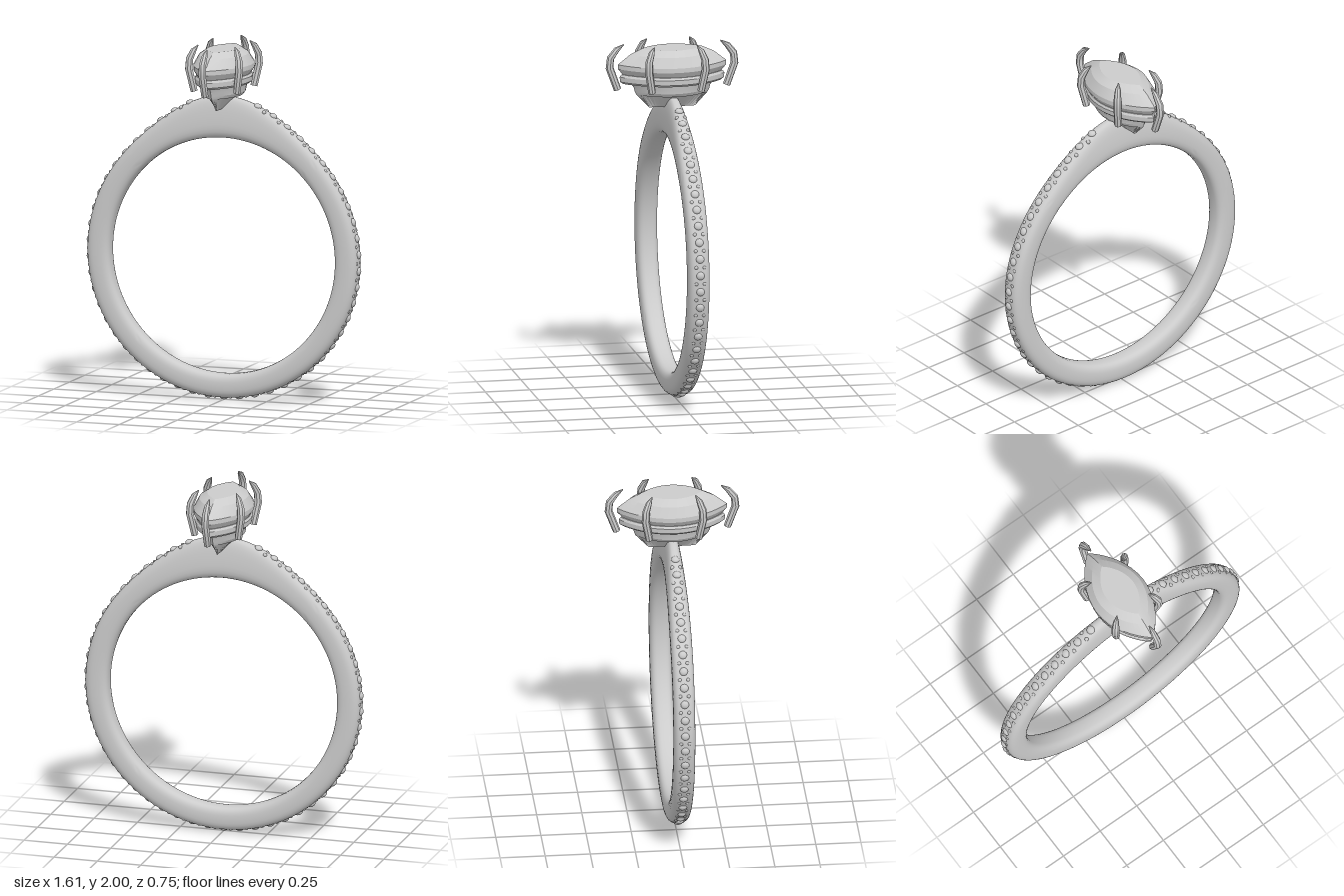
import * as THREE from 'three';
import { toCreasedNormals } from 'three/addons/utils/BufferGeometryUtils.js';

const material = new THREE.MeshStandardMaterial({ color: 0xcccccc, side: THREE.DoubleSide });
const CENTER_Y = 0.81, INNER = 0.66;

// Skin a list of equal-length rings of points; closed joins the last to the first, otherwise ends are capped
function loft(rings, closed, crease) {
  const list = rings.slice();
  const n = rings[0].length;
  if (!closed) {
    const cap = (ring) => {
      const c = new THREE.Vector3();
      ring.forEach((p) => c.addScaledVector(p, 1 / n));
      return ring.map(() => c);
    };
    list.unshift(cap(rings[0]));
    list.push(cap(rings[rings.length - 1]));
  }
  const m = list.length, index = [];
  const same = (p, q) => list[Math.floor(p / n)][p % n].distanceTo(list[Math.floor(q / n)][q % n]) < 1e-6;
  const tri = (a, b, c) => {
    if (!same(a, b) && !same(b, c) && !same(a, c)) index.push(a, b, c);
  };
  for (let i = 0; i < (closed ? m : m - 1); i++) {
    for (let j = 0; j < n; j++) {
      const k = (j + 1) % n, i2 = (i + 1) % m;
      tri(i * n + j, i * n + k, i2 * n + k);
      tri(i * n + j, i2 * n + k, i2 * n + j);
    }
  }
  const geo = new THREE.BufferGeometry().setFromPoints(list.flat());
  geo.setIndex(index);
  return toCreasedNormals(geo, crease);
}

function add(parent, geometry, name) {
  const mesh = new THREE.Mesh(geometry, material);
  mesh.name = name;
  parent.add(mesh);
  return mesh;
}

// Shoulder swell near the top of the band, a = angle from the top
const swell = (a) => {
  const d = Math.abs(Math.atan2(Math.sin(a), Math.cos(a)));
  return Math.exp(-((d / 0.45) ** 2));
};
const outer = (a) => 0.793 + 0.1 * swell(a);
const onBand = (a, r, z) => new THREE.Vector3(Math.sin(a) * r, CENTER_Y + Math.cos(a) * r, z);
const power = (v, e) => Math.sign(v) * Math.abs(v) ** e;

function bandGeometry() {
  const rings = [], steps = 128, sides = 28;
  for (let i = 0; i < steps; i++) {
    const a = (i / steps) * Math.PI * 2;
    const mid = (outer(a) + INNER) / 2, half = (outer(a) - INNER) / 2;
    rings.push(Array.from({ length: sides }, (_, j) => {
      const t = (j / sides) * Math.PI * 2;
      const u = power(Math.cos(t), 0.75);
      const width = 0.06 * (1 - 0.22 * swell(a) * (u + 1));
      return onBand(a, mid + half * u, width * power(Math.sin(t), 0.6));
    }));
  }
  return loft(rings, true, 0.9);
}

// Pointed oval ring: half length along z, half width along x
function marquise([y, length, width]) {
  const n = 40;
  return Array.from({ length: n }, (_, j) => {
    const t = (j / n) * Math.PI * 2;
    const s = Math.sin(t);
    const x = width * Math.sign(Math.cos(t)) * Math.max(0, 1 - s * s) ** 0.9;
    return new THREE.Vector3(x, y, -length * s);
  });
}
const stack = (layers) => loft(layers.map(marquise), false, 0.3);

// Claw bent outward then hooked over the stone; profile rows are [reach, height, radius]
function prongGeometry(reach) {
  const profile = [[-0.045, 1.745, 0.021], [0, 1.87, 0.022], [-0.006, 1.925, 0.021], [-0.04, 1.97, 0.017], [-0.08, 1.998, 0.003]];
  const pts = profile.map(([d, y]) => new THREE.Vector3(0, y, d * reach));
  const side = new THREE.Vector3(1, 0, 0);
  const rings = pts.map((p, i) => {
    const dir = pts[Math.min(i + 1, 4)].clone().sub(pts[Math.max(i - 1, 0)]).normalize();
    const e2 = dir.clone().cross(side);
    return Array.from({ length: 8 }, (_, j) => {
      const t = (j / 8) * Math.PI * 2, r = profile[i][2];
      return p.clone().addScaledVector(side, r * Math.cos(t)).addScaledVector(e2, r * Math.sin(t));
    });
  });
  return loft(rings, false, 0.6);
}

export function createModel() {
  const model = new THREE.Group();
  model.name = 'ring';
  add(model, bandGeometry(), 'band');

  // Row of accent stones with pairs of tiny beads between them
  const accents = new THREE.Group();
  accents.name = 'accentStones';
  model.add(accents);
  const stoneGeo = new THREE.SphereGeometry(0.024, 12, 8);
  const beadGeo = new THREE.SphereGeometry(0.012, 8, 6);
  const count = 54, step = (Math.PI * 2) / count;
  for (let i = 2; i <= count - 2; i++) {
    const a = i * step;
    const stone = add(accents, stoneGeo, 'accentStone');
    stone.position.copy(onBand(a, outer(a) - 0.004, 0));
    stone.rotation.z = -a;
    stone.scale.y = 0.7;
    const b = a + step / 2;
    if (i < count - 2) {
      for (const s of [-1, 1]) {
        add(accents, beadGeo, 'settingBead').position.copy(onBand(b, outer(b) - 0.008, s * 0.022));
      }
    }
  }

  // Head: wedge base, gallery, bezel and faceted stone
  const head = new THREE.Group();
  head.name = 'head';
  model.add(head);
  add(head, stack([[1.635, 0.13, 0.003], [1.715, 0.205, 0.08]]), 'base');
  add(head, stack([[1.71, 0.2, 0.1], [1.73, 0.21, 0.115], [1.75, 0.215, 0.118], [1.78, 0.235, 0.125]]), 'gallery');
  add(head, stack([[1.775, 0.275, 0.135], [1.787, 0.292, 0.148], [1.815, 0.295, 0.15], [1.828, 0.285, 0.142]]), 'bezel');
  add(head, stack([[1.815, 0.265, 0.13], [1.86, 0.305, 0.16], [1.885, 0.305, 0.16],
    [1.94, 0.235, 0.132], [1.97, 0.17, 0.088]]), 'centreStone');

  // Six prongs: one at each point, two along each side
  const place = (x, z, angle, reach) => {
    const prong = add(head, prongGeometry(reach), 'prong');
    prong.position.set(x, 0, z);
    prong.rotation.y = angle;
  };
  for (const s of [-1, 1]) {
    place(0, s * 0.352, s > 0 ? 0 : Math.PI, 1);
    for (const x of [-1, 1]) place(x * 0.148, s * 0.16, Math.atan2(x, s), 0.7);
  }
  return model;
}
